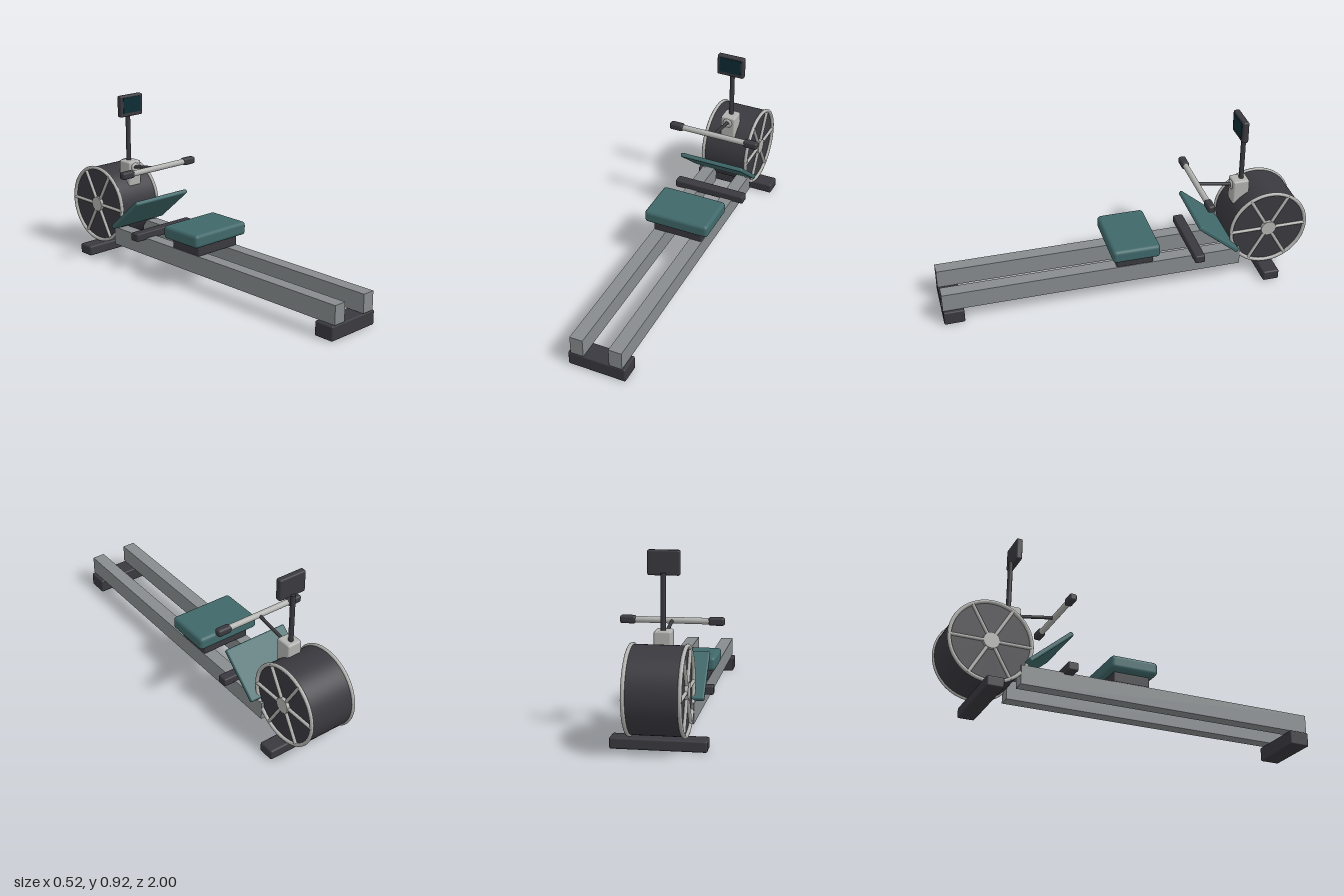
import * as THREE from 'three';
import { RoundedBoxGeometry } from 'three/addons/geometries/RoundedBoxGeometry.js';

const mat = (name, color) => Object.assign(new THREE.MeshStandardMaterial({ color }), { name });

export function createModel() {
  const model = new THREE.Group();
  model.name = 'rowingMachine';
  const dark = mat('charcoal', 0x3a393f);
  const steel = mat('steelGrey', 0x888c8e);
  const silver = mat('silver', 0xb2b2b0);
  const teal = mat('teal', 0x40686a);
  const glass = mat('screenBlue', 0x0d2c35);

  function add(name, geometry, material, x, y, z, parent = model) {
    const mesh = new THREE.Mesh(geometry, material);
    mesh.name = name;
    mesh.position.set(x, y, z);
    parent.add(mesh);
    return mesh;
  }
  const rounded = (w, h, d, r) => new RoundedBoxGeometry(w, h, d, 3, r);
  const rod = (r, length, sides = 20) => new THREE.CylinderGeometry(r, r, length, sides);

  // Frame and feet
  for (const s of [-1, 1]) add('rail', new THREE.BoxGeometry(0.07, 0.1, 1.62), steel, s * 0.105, 0.13, 0.19);
  add('frontFoot', rounded(0.312, 0.077, 0.11, 0.008), dark, 0, 0.0385, 0.945);
  add('rearFoot', rounded(0.464, 0.056, 0.09, 0.01), dark, 0, 0.028, -0.775);

  // Sliding seat
  add('seatCarriage', rounded(0.28, 0.058, 0.2, 0.008), dark, 0, 0.207, -0.03);
  add('seat', rounded(0.366, 0.073, 0.258, 0.02), teal, 0, 0.272, -0.03);

  // Footrest
  add('footBar', rounded(0.41, 0.045, 0.055, 0.008), dark, 0, 0.193, -0.373);
  const plate = add('footPlate', rounded(0.37, 0.024, 0.29, 0.008), teal, 0, 0.287, -0.482);
  plate.rotation.x = -0.71;

  // Flywheel with a ring, spokes and a hub on each side
  const wheel = new THREE.Group();
  wheel.name = 'flywheel';
  wheel.position.set(0, 0.28, -0.777);
  model.add(wheel);
  add('drum', rod(0.211, 0.25, 64), dark, 0, 0, 0, wheel).rotation.z = Math.PI / 2;
  for (const s of [-1, 1]) {
    add('rim', new THREE.TorusGeometry(0.21, 0.01, 10, 64), silver, s * 0.13, 0, 0, wheel).rotation.y = Math.PI / 2;
    add('hub', rod(0.042, 0.03, 24), silver, s * 0.127, 0, 0, wheel).rotation.z = Math.PI / 2;
    for (let i = 0; i < 6; i++) {
      const a = i * Math.PI / 3;
      const spoke = add('spoke', rod(0.009, 0.215, 8), silver, s * 0.131, Math.sin(a) * 0.1075, Math.cos(a) * 0.1075, wheel);
      spoke.rotation.x = Math.PI / 2 - a;
    }
  }

  // Neck, cable guide and cable
  add('neck', rounded(0.084, 0.14, 0.09, 0.01), silver, 0, 0.47, -0.645);
  add('cableGuide', new THREE.TorusGeometry(0.018, 0.009, 12, 28), silver, 0, 0.505, -0.601);
  const path = new THREE.LineCurve3(new THREE.Vector3(0, 0.505, -0.62), new THREE.Vector3(0, 0.541, -0.405));
  add('cable', new THREE.TubeGeometry(path, 1, 0.009, 12), dark, 0, 0, 0);

  // Handle
  add('handleBar', rod(0.016, 0.4), silver, 0, 0.542, -0.403).rotation.z = Math.PI / 2;
  for (const s of [-1, 1]) add('grip', rounded(0.08, 0.04, 0.04, 0.012), dark, s * 0.22, 0.542, -0.403);

  // Monitor on its mast
  add('mast', rod(0.013, 0.28), dark, 0, 0.67, -0.655);
  add('monitor', rounded(0.156, 0.12, 0.034, 0.009), dark, 0, 0.857, -0.635);
  add('screen', new THREE.BoxGeometry(0.122, 0.086, 0.004), glass, 0, 0.862, -0.617);

  return model;
}
